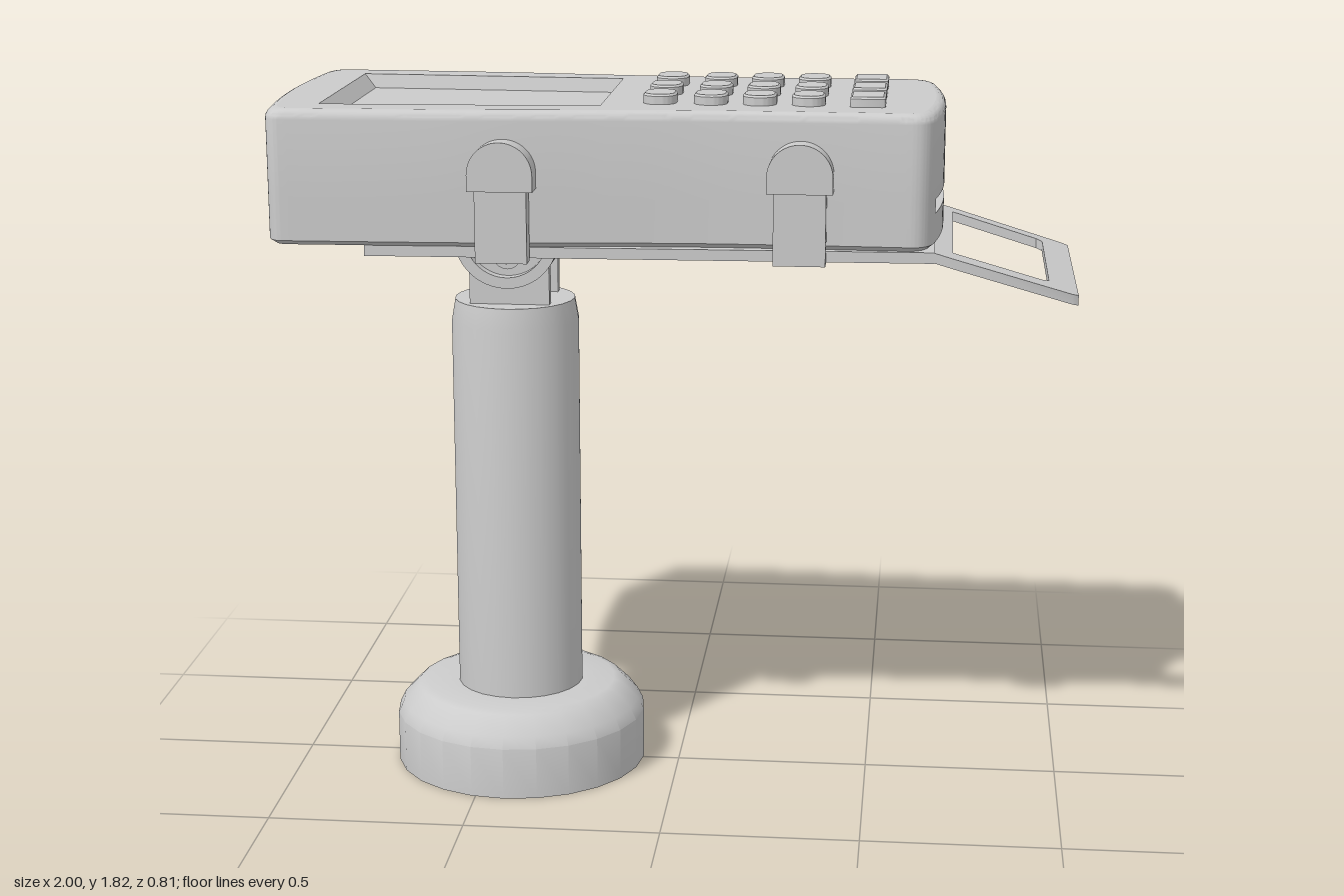
import * as THREE from 'three';
import { toCreasedNormals } from 'three/addons/utils/BufferGeometryUtils.js';

const grey = new THREE.MeshStandardMaterial({ color: 0xcccccc, side: THREE.DoubleSide });
const V = (x, y) => new THREE.Vector2(x, y);

export function createModel() {
  const model = new THREE.Group();
  const root = new THREE.Group();
  root.name = 'handheldOnStand';
  root.position.z = -0.01;
  model.add(root);

  const add = (name, geo, x = 0, y = 0, z = 0, crease = 0.6) => {
    const mesh = new THREE.Mesh(toCreasedNormals(geo, crease), grey);
    mesh.name = name;
    mesh.position.set(x, y, z);
    root.add(mesh);
    return mesh;
  };
  // Upright extrusion of a plan outline given as (x, -z)
  const slab = (shape, depth, opts = {}) =>
    new THREE.ExtrudeGeometry(shape, { depth, bevelEnabled: false, curveSegments: 10, ...opts }).rotateX(-Math.PI / 2);
  // Walls between rings [y, points], points counterclockwise from above
  const loft = (rings) => {
    const n = rings[0][1].length, pos = [], idx = [];
    rings.forEach(([y, pts]) => pts.forEach(p => pos.push(p.x, y, -p.y)));
    for (let r = 0; r < rings.length - 1; r++) {
      for (let i = 0; i < n; i++) {
        const a = r * n + i, b = r * n + (i + 1) % n;
        idx.push(a, b, b + n, a, b + n, a + n);
      }
    }
    const g = new THREE.BufferGeometry();
    g.setAttribute('position', new THREE.Float32BufferAttribute(pos, 3));
    g.setIndex(idx);
    return g;
  };
  const cap = (pts, y, hole) => {
    const s = new THREE.Shape(pts);
    if (hole) s.holes.push(new THREE.Path(hole));
    return new THREE.ShapeGeometry(s).rotateX(-Math.PI / 2).translate(0, y, 0);
  };

  // Device body: waisted outline with bowed ends
  const side = [[-0.94, 0.38], [-0.5, 0.365], [-0.15, 0.335], [0.1, 0.32], [0.4, 0.32], [0.59, 0.325]];
  const plan = new THREE.Shape();
  plan.moveTo(-0.94, -0.38);
  plan.splineThru(side.slice(1).map(([x, h]) => V(x, -h)));
  plan.quadraticCurveTo(0.64, -0.325, 0.65, -0.25);
  plan.quadraticCurveTo(0.69, 0, 0.65, 0.25);
  plan.quadraticCurveTo(0.64, 0.325, 0.59, 0.325);
  plan.splineThru(side.slice(0, -1).reverse().map(([x, h]) => V(x, h)));
  plan.quadraticCurveTo(-0.975, 0.38, -0.982, 0.32);
  plan.quadraticCurveTo(-1.018, 0, -0.982, -0.32);
  plan.quadraticCurveTo(-0.975, -0.38, -0.94, -0.38);
  const outline = plan.getPoints(20).slice(0, -1);
  const inset = d => outline.map(p => V(-0.165 + (p.x + 0.165) * (1 - d / 0.83), p.y * (1 - d / 0.36)));
  const slotted = outline.map(p => V(Math.abs(p.y) < 0.235 ? Math.min(p.x, 0.61) : p.x, p.y));
  const rings = [[1.457, inset(0.012)], [1.468, outline], [1.54, outline], [1.54, slotted],
    [1.575, slotted], [1.575, outline]];
  for (let i = 0; i <= 5; i++) {
    const a = i / 5 * Math.PI / 2;
    rings.push([1.765 + 0.025 * Math.sin(a), inset(0.025 * (1 - Math.cos(a)))]);
  }
  add('deviceBody', loft(rings));
  add('deviceUnderside', cap(inset(0.012), 1.457));

  // Recessed screen
  const trapezoid = (x0, x1, h0, h1) => [V(x0, -h0), V(x1, -h1), V(x1, h1), V(x0, h0)];
  const opening = trapezoid(-0.86, -0.17, 0.275, 0.245);
  const pane = trapezoid(-0.83, -0.182, 0.262, 0.234);
  add('deviceTop', cap(inset(0.025), 1.79, opening));
  add('screenSurround', loft([[1.79, opening], [1.755, pane]]));
  add('screen', cap(pane, 1.755));

  // Keypad: rounded keys and a column of square ones
  const keyShape = (w, h, r) => {
    const s = new THREE.Shape();
    s.moveTo(-w + r, -h);
    s.lineTo(w - r, -h);
    s.absarc(w - r, -h + r, r, -Math.PI / 2, 0);
    s.absarc(w - r, h - r, r, 0, Math.PI / 2);
    s.absarc(-w + r, h - r, r, Math.PI / 2, Math.PI);
    s.absarc(-w + r, -h + r, r, Math.PI, Math.PI * 1.5);
    return s;
  };
  const bevel = { bevelEnabled: true, bevelSize: 0.005, bevelThickness: 0.005, bevelSegments: 1, curveSegments: 5 };
  for (const z of [-0.16, 0, 0.16]) {
    for (const x of [-0.03, 0.095, 0.215, 0.335]) add('roundKey', slab(keyShape(0.036, 0.05, 0.034), 0.025, bevel), x, 1.785, z);
    add('squareKey', slab(keyShape(0.038, 0.049, 0.004), 0.025, bevel), 0.48, 1.785, z);
  }

  // Cradle tray and sloping carry handle
  const tray = new THREE.Shape([V(-0.74, -0.36), V(0.65, -0.325), V(0.65, 0.36), V(-0.74, 0.4)]);
  add('tray', slab(tray, 0.027), 0, 1.43);
  const grip = new THREE.Shape([V(0.65, -0.325), V(0.7, -0.325), V(0.985, -0.305), V(1, -0.295),
    V(1, 0.33), V(0.985, 0.34), V(0.7, 0.36), V(0.65, 0.36)]);
  grip.holes.push(new THREE.Path([V(0.695, -0.25), V(0.695, 0.3), V(0.915, 0.285), V(0.93, 0.27),
    V(0.93, -0.225), V(0.915, -0.24)]));
  const handle = slab(grip, 0.025);
  const p = handle.attributes.position;
  for (let i = 0; i < p.count; i++) p.setY(i, p.getY(i) - (p.getX(i) - 0.65) * 0.295);
  add('handle', handle, 0, 1.431);

  // Back side panel with rounded upper corners
  const panel = new THREE.Shape();
  panel.moveTo(-0.665, 0);
  panel.lineTo(0.665, 0);
  panel.lineTo(0.665, 0.235);
  panel.quadraticCurveTo(0.665, 0.295, 0.605, 0.295);
  panel.lineTo(-0.605, 0.295);
  panel.quadraticCurveTo(-0.665, 0.295, -0.665, 0.235);
  add('sidePanel', new THREE.ExtrudeGeometry(panel, { depth: 0.02, bevelEnabled: false }), -0.065, 1.43, -0.383).rotation.y = -0.03;

  // Front clips: strap with a domed head
  const dome = new THREE.Shape();
  dome.moveTo(-0.08, -0.04);
  dome.lineTo(0.08, -0.04);
  dome.absarc(0, 0, 0.08, 0, Math.PI);
  for (const [x, z] of [[-0.395, 0.345], [0.325, 0.312]]) {
    add('clipHead', new THREE.ExtrudeGeometry(dome, { depth: 0.067, bevelEnabled: false, curveSegments: 16 }), x, 1.642, z);
    add('clipStrap', new THREE.BoxGeometry(0.127, 0.185, 0.045), x, 1.518, z + 0.035);
  }

  // Tilting half-round bracket, yoke tabs and bolts
  const px = -0.425, py = 1.44;
  const halfRing = new THREE.Shape();
  halfRing.absarc(0, 0, 0.133, Math.PI, Math.PI * 2);
  halfRing.absarc(0, 0, 0.105, Math.PI * 2, Math.PI, true);
  add('bracketShell', new THREE.ExtrudeGeometry(halfRing, { depth: 0.28, bevelEnabled: false, curveSegments: 20 }), px, py, -0.14);
  const halfDisc = new THREE.Shape();
  halfDisc.absarc(0, 0, 0.107, Math.PI, Math.PI * 2);
  add('bracketCore', new THREE.ExtrudeGeometry(halfDisc, { depth: 0.22, bevelEnabled: false, curveSegments: 20 }), px, py, -0.11);
  for (const s of [-1, 1]) {
    add('yokeTab', new THREE.BoxGeometry(0.205, 0.16, 0.03), px, 1.33, s * 0.08);
    add('boltWasher', new THREE.CylinderGeometry(0.036, 0.036, 0.02, 20).rotateX(Math.PI / 2), px, 1.39, s * 0.115);
    add('boltHead', new THREE.CylinderGeometry(0.022, 0.022, 0.03, 6).rotateX(Math.PI / 2), px, 1.39, s * 0.12);
  }

  // Hollow post and cup-shaped foot
  const lathe = pts => new THREE.LatheGeometry(pts.map(([r, y]) => V(r, y)), 24);
  add('post', lathe([[0, 0.16], [0.13, 0.16], [0.13, 0.1], [0.165, 0.1], [0.165, 1.2], [0.155, 1.257], [0, 1.257]]), px, 0, 0, 0.5);
  add('foot', lathe([[0.16, 0.16], [0.25, 0.16], [0.31, 0.11], [0.31, 0], [0.33, 0], [0.33, 0.135],
    [0.315, 0.165], [0.272, 0.208], [0.25, 0.215], [0.16, 0.215]]), px, 0, 0, 0.5);

  return model;
}
